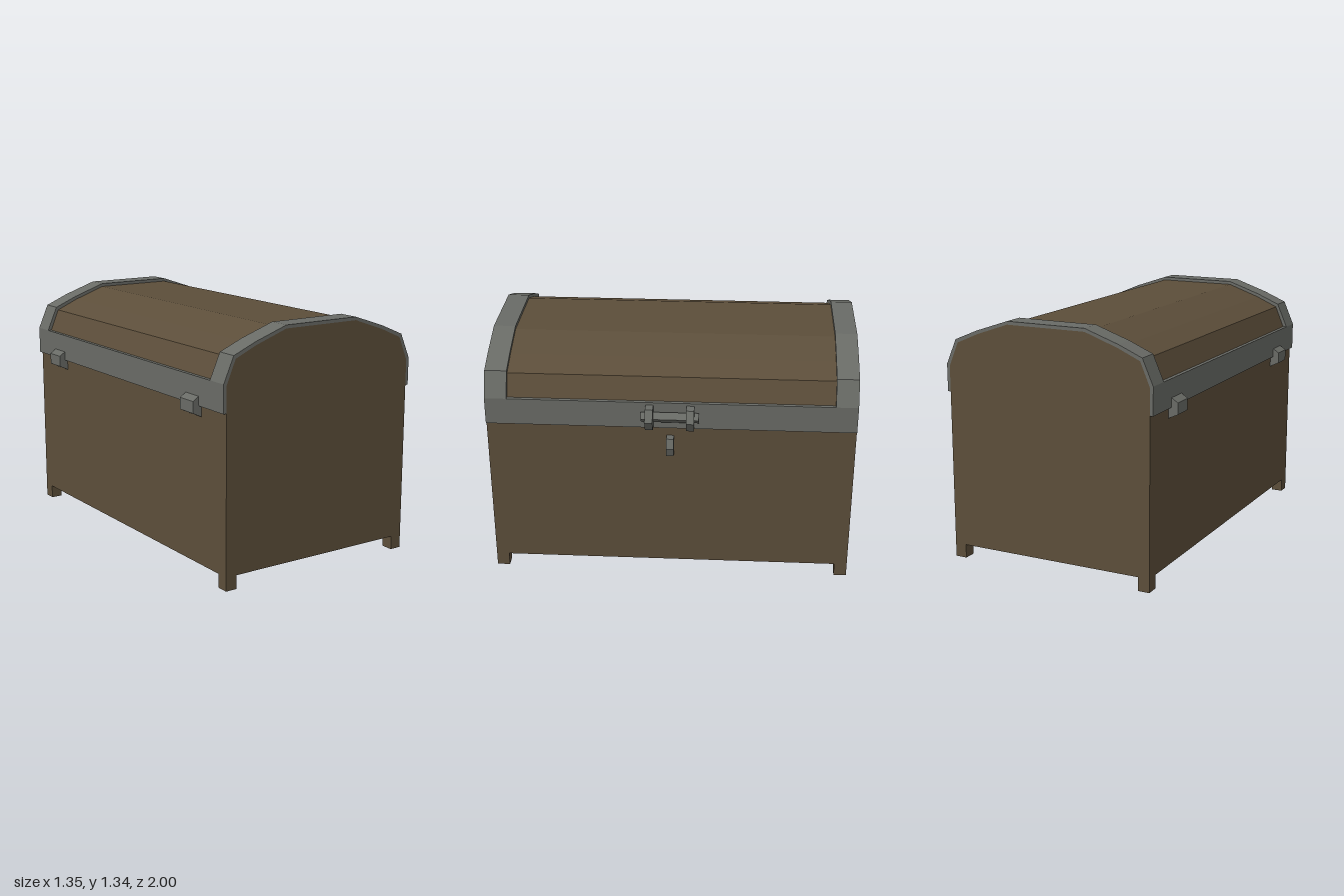
import * as THREE from 'three';

const wood = new THREE.MeshStandardMaterial({ color: 0x5c4e3a, flatShading: true });
wood.name = 'brown wood';
const metal = new THREE.MeshStandardMaterial({ color: 0x696b66, flatShading: true });
metal.name = 'grey metal';

// Extrude an x-y outline along z, from z0 to z1
function prism(name, points, z0, z1, material, hole) {
  const toVec = (p) => new THREE.Vector2(p[0], p[1]);
  const shape = new THREE.Shape(points.map(toVec));
  if (hole) shape.holes.push(new THREE.Path(hole.map(toVec)));
  const geometry = new THREE.ExtrudeGeometry(shape, { depth: z1 - z0, bevelEnabled: false });
  geometry.translate(0, 0, z0);
  const mesh = new THREE.Mesh(geometry, material);
  mesh.name = name;
  return mesh;
}

export function createModel() {
  const chest = new THREE.Group();
  chest.name = 'chest';

  // Arched cross-section of the wood, and the trim line just outside it
  const arch = [
    [0.56, 1.07], [0.505, 1.2], [0.38, 1.255], [0.195, 1.32],
    [-0.26, 1.32], [-0.445, 1.255], [-0.57, 1.2], [-0.625, 1.07],
  ];
  const outerArch = [
    [0.577, 1.08], [0.517, 1.217], [0.385, 1.273], [0.195, 1.338],
    [-0.26, 1.338], [-0.45, 1.273], [-0.582, 1.217], [-0.642, 1.08],
  ];

  // Body and lid
  chest.add(prism('body', [[-0.625, 0.075], [0.56, 0.075], ...arch], -1, 1, wood));

  // Feet
  for (const x of [-0.5925, 0.5275]) {
    for (const z of [-0.965, 0.965]) {
      const foot = new THREE.Mesh(new THREE.BoxGeometry(0.065, 0.075, 0.07), wood);
      foot.name = 'foot';
      foot.position.set(x, 0.0375, z);
      chest.add(foot);
    }
  }

  // Metal bands over both ends of the lid
  const band = [
    [0.56, 0.93], [0.577, 0.93], ...outerArch, [-0.642, 0.93], [-0.625, 0.93],
    ...[...arch].reverse(),
  ];
  chest.add(prism('endBand', band, 0.88, 1, metal));
  chest.add(prism('endBand', band, -1, -0.88, metal));

  // Metal rims along both long sides
  chest.add(prism('rightRim', [[0.56, 0.93], [0.577, 0.93], [0.577, 1.08], [0.556, 1.08]], -0.88, 0.88, metal));
  chest.add(prism('leftRim', [[-0.642, 0.93], [-0.625, 0.93], [-0.621, 1.08], [-0.642, 1.08]], -0.88, 0.88, metal));

  // Handle: two pointed brackets holding a faceted bar
  const bracket = [[0.57, 0.945], [0.635, 0.945], [0.673, 1.005], [0.635, 1.065], [0.57, 1.065]];
  for (const z of [-0.11, 0.11]) chest.add(prism('handleBracket', bracket, z - 0.021, z + 0.021, metal));
  const bar = [[0.573, 0.99], [0.598, 0.975], [0.627, 1.005], [0.598, 1.035], [0.573, 1.02]];
  chest.add(prism('handleBar', bar, -0.155, 0.155, metal));

  // Lock loop below the handle
  const loop = [[0.555, 0.773], [0.606, 0.773], [0.626, 0.825], [0.606, 0.877], [0.555, 0.877]];
  const loopHole = [[0.57, 0.787], [0.6, 0.787], [0.613, 0.825], [0.6, 0.863], [0.57, 0.863]];
  chest.add(prism('lockLoop', loop, -0.02, 0.02, metal, loopHole));

  // Hinges on the opposite side
  const hinge = [[-0.62, 0.868], [-0.62, 0.98], [-0.642, 0.98], [-0.677, 0.957], [-0.677, 0.895]];
  for (const z of [-0.728, 0.72]) chest.add(prism('hinge', hinge, z - 0.06, z + 0.06, metal));

  return chest;
}
